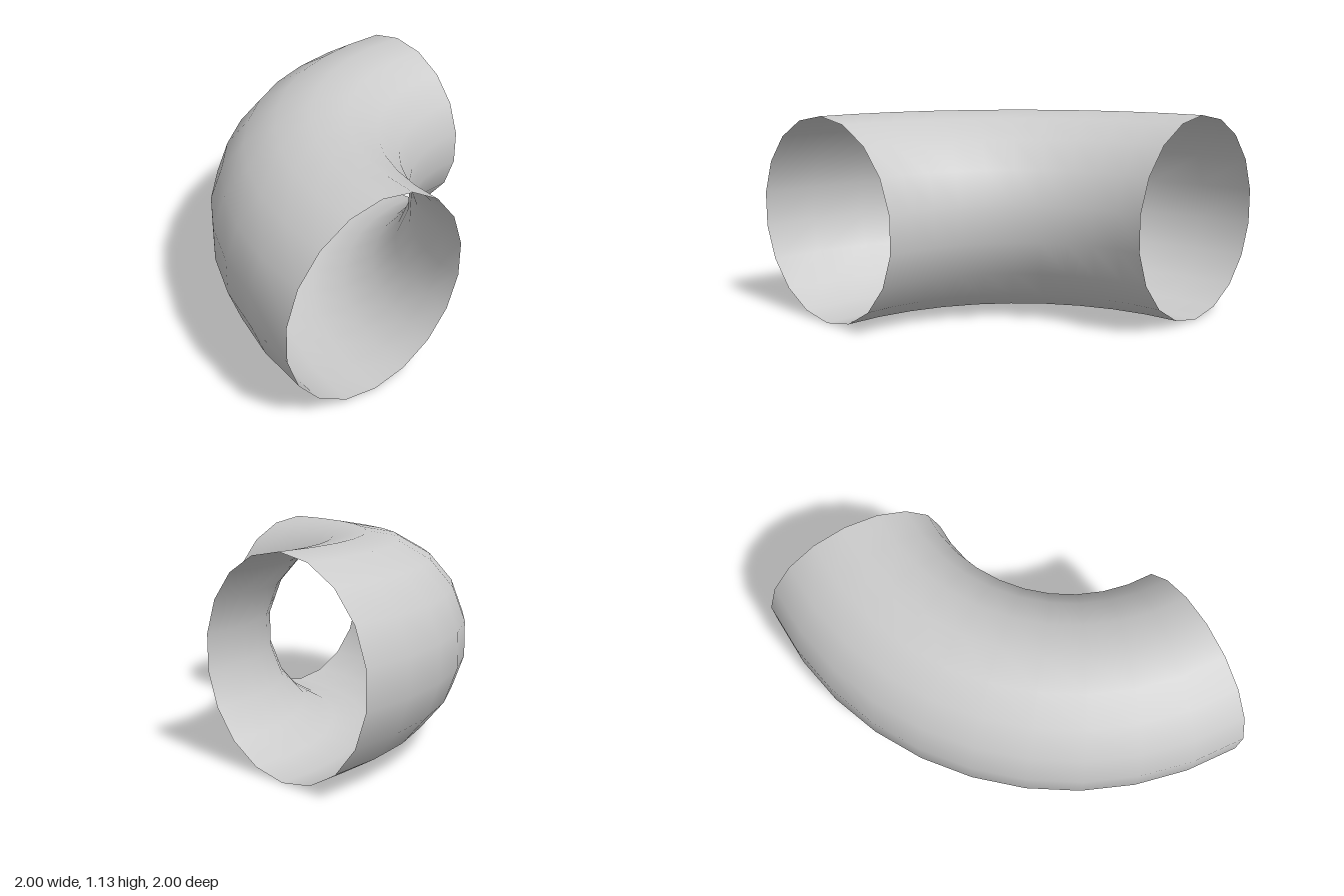
import * as THREE from 'three';

const RADIUS = 0.565;   // pipe radius
const CENTRE = 1.007;   // bend centre in x and z
const START = THREE.MathUtils.degToRad(0.6);

// Quarter bend with a slight outward bulge at its middle
class BendCurve extends THREE.Curve {
  angle(t) {
    return START + t * (Math.PI / 2 - 2 * START);
  }
  getPoint(t, target = new THREE.Vector3()) {
    const a = this.angle(t);
    const r = 1.449 + 0.021 * Math.sin(2 * a);
    return target.set(CENTRE - r * Math.cos(a), RADIUS, CENTRE - r * Math.sin(a));
  }
  getTangent(t, target = new THREE.Vector3()) {
    const a = this.angle(t);
    return target.set(Math.sin(a), 0, -Math.cos(a));
  }
}

export function createModel() {
  const group = new THREE.Group();
  group.name = 'pipeElbow';

  // Open, thin-walled bent pipe
  const pipe = new THREE.Mesh(
    new THREE.TubeGeometry(new BendCurve(), 10, RADIUS, 18, false),
    new THREE.MeshStandardMaterial({ color: 0xcccccc, side: THREE.DoubleSide })
  );
  pipe.name = 'bentPipe';
  group.add(pipe);
  return group;
}
